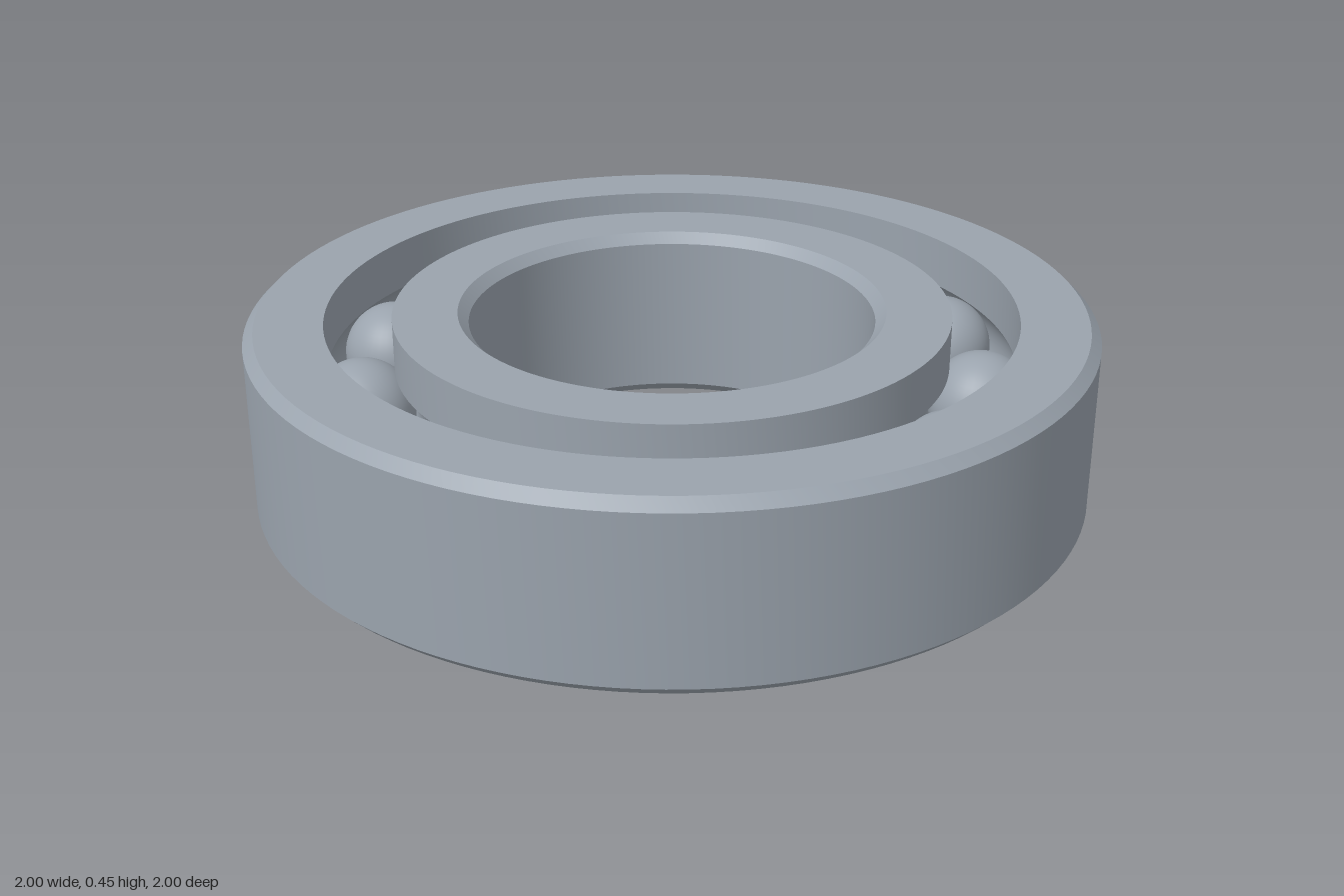
import * as THREE from 'three';
import { toCreasedNormals } from 'three/addons/utils/BufferGeometryUtils.js';

const HEIGHT = 0.447;
const MID = HEIGHT / 2;
const CHAMFER = 0.025;
const PITCH = 0.737;        // radius of the circle of ball centres
const BALL_RADIUS = 0.125;
const BALL_COUNT = 13;
const GROOVE_RADIUS = 0.127;

// Arc of the raceway groove, centred on the ball centres, between two angles
function groove(from, to) {
  const points = [];
  for (let i = 0; i <= 14; i++) {
    const a = from + (to - from) * i / 14;
    points.push([PITCH + GROOVE_RADIUS * Math.cos(a), MID + GROOVE_RADIUS * Math.sin(a)]);
  }
  return points;
}

// Turned ring from a closed profile, listed anticlockwise
function turnedRing(name, profile, material) {
  const points = [...profile, profile[0]].map(([x, y]) => new THREE.Vector2(x, y));
  const geometry = toCreasedNormals(new THREE.LatheGeometry(points, 128), 0.4);
  const mesh = new THREE.Mesh(geometry, material);
  mesh.name = name;
  return mesh;
}

export function createModel() {
  const group = new THREE.Group();
  group.name = 'ballBearing';
  const steel = new THREE.MeshStandardMaterial({ color: 0x9aa3ad });
  steel.name = 'steel';

  // Outer ring: chamfered outside, grooved inside
  const outerRace = 0.815;
  const outerAngle = Math.acos((outerRace - PITCH) / GROOVE_RADIUS);
  group.add(turnedRing('outerRing', [
    [outerRace, 0],
    [1 - CHAMFER, 0], [1, CHAMFER],
    [1, HEIGHT - CHAMFER], [1 - CHAMFER, HEIGHT],
    [outerRace, HEIGHT],
    ...groove(outerAngle, -outerAngle),
  ], steel));

  // Inner ring: chamfered bore, grooved outside
  const innerRace = 0.658, bore = 0.48;
  const innerAngle = Math.acos((innerRace - PITCH) / GROOVE_RADIUS);
  group.add(turnedRing('innerRing', [
    [bore, CHAMFER], [bore + CHAMFER, 0],
    [innerRace, 0],
    ...groove(2 * Math.PI - innerAngle, innerAngle),
    [innerRace, HEIGHT],
    [bore + CHAMFER, HEIGHT], [bore, HEIGHT - CHAMFER],
  ], steel));

  // Balls, evenly spaced between the rings
  const balls = new THREE.Group();
  balls.name = 'balls';
  const ballGeometry = new THREE.SphereGeometry(BALL_RADIUS, 40, 28);
  for (let i = 0; i < BALL_COUNT; i++) {
    const a = THREE.MathUtils.degToRad(12.1) + i * 2 * Math.PI / BALL_COUNT;
    const ball = new THREE.Mesh(ballGeometry, steel);
    ball.name = 'ball' + (i + 1);
    ball.position.set(PITCH * Math.cos(a), MID, PITCH * Math.sin(a));
    balls.add(ball);
  }
  group.add(balls);
  return group;
}
